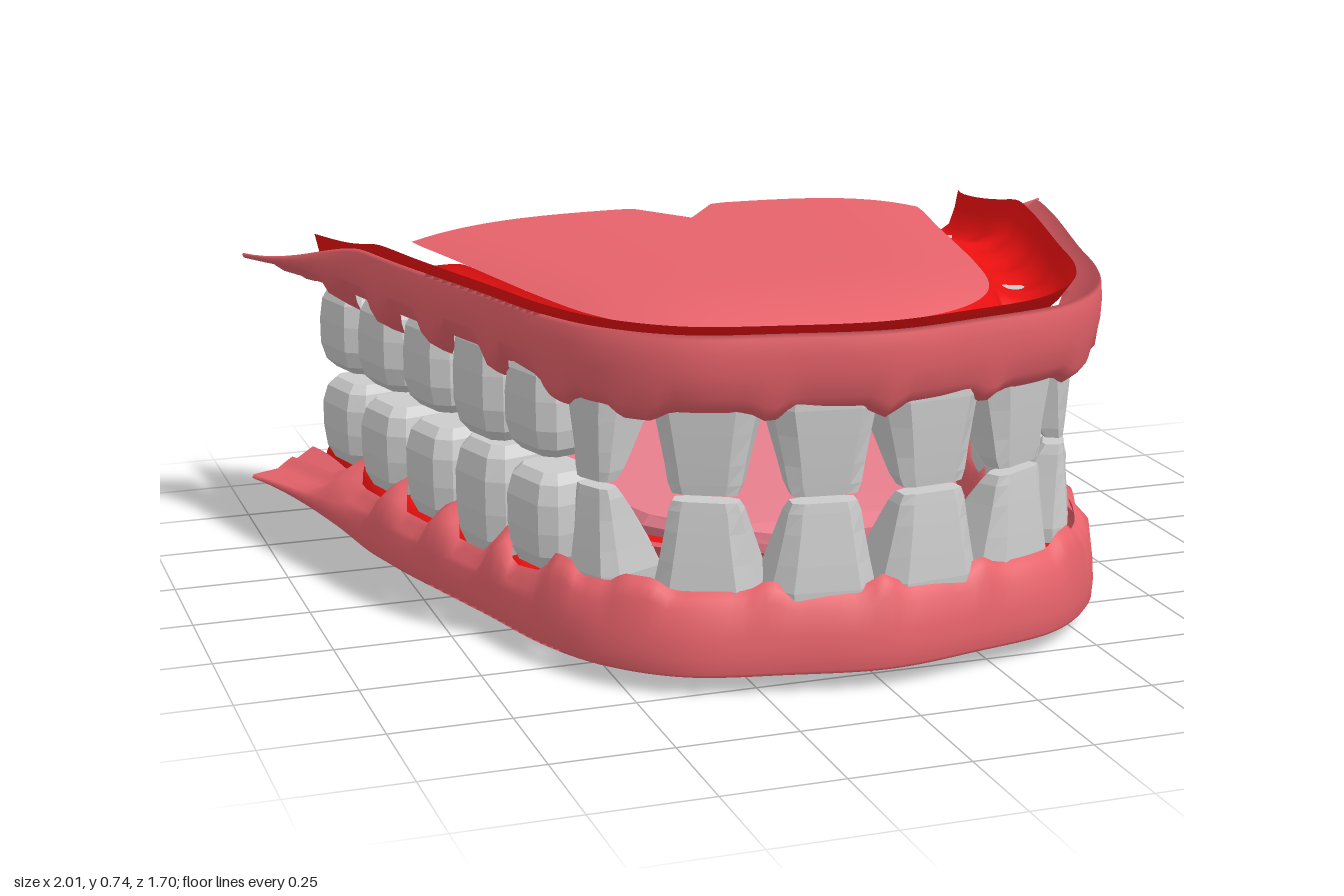
import * as THREE from 'three';

const paint = (color, extra = {}) => new THREE.MeshStandardMaterial({ color, roughness: 0.7, ...extra });
const both = { side: THREE.DoubleSide };
const gumMat = paint(0xe6626a, both);
const fleshMat = paint(0xea1010, both);
const tongueMat = paint(0xe87f8e, { ...both, flatShading: true });
const toothMat = paint(0xcccccc, { flatShading: true });

const ramp = (v, a, b) => THREE.MathUtils.smoothstep(v, a, b);
const mix = THREE.MathUtils.lerp;

// Half outlines of the dental arch as [x, z], from the front middle to the back
const OUTER = [[0, .845], [.2, .81], [.4, .755], [.53, .64], [.61, .49], [.68, .25], [.77, -.05], [.85, -.34], [1, -.65]];
const INNER = [[0, .56], [.16, .545], [.29, .49], [.385, .4], [.45, .28], [.5, .1], [.545, -.12], [.59, -.35], [.65, -.62]];
const archCurve = (half) => {
  const mirrored = half.slice(1).reverse().map(([x, z]) => [-x, z]);
  return new THREE.CatmullRomCurve3([...mirrored, ...half].map(([x, z]) => new THREE.Vector3(x, 0, z)));
};
const outer = archCurve(OUTER), inner = archCurve(INNER);

// One side of the row; turn is the facing away from straight ahead
const TEETH = [
  { name: 'centralIncisor', x: .106, z: .7, turn: .12, w: .212, d: .2, bite: .39, gum: .6, front: true },
  { name: 'lateralIncisor', x: .305, z: .632, turn: .5, w: .21, d: .19, bite: .39, gum: .6, front: true },
  { name: 'canine', x: .46, z: .485, turn: 1.1, w: .14, d: .17, bite: .39, gum: .6, front: true },
  { name: 'firstPremolar', x: .535, z: .305, turn: 1.28, w: .185, d: .16, bite: .4, gum: .605 },
  { name: 'secondPremolar', x: .592, z: .105, turn: 1.29, w: .19, d: .165, bite: .388, gum: .63 },
  { name: 'firstMolar', x: .65, z: -.105, turn: 1.3, w: .185, d: .17, bite: .4, gum: .61 },
  { name: 'secondMolar', x: .705, z: -.31, turn: 1.31, w: .19, d: .17, bite: .4, gum: .6 },
  { name: 'thirdMolar', x: .75, z: -.515, turn: 1.32, w: .19, d: .17, bite: .395, gum: .585 },
];

// 0 beside the middle of a tooth, 1 in the gap between two teeth
function gapAt(x, z) {
  const d = TEETH.map((t) => Math.hypot(Math.abs(x) - t.x, z - t.z) / (t.w / 2));
  return ramp(Math.min(...d), 0.6, 1.05);
}

// Surface through rows of equally many points
function grid(rows) {
  const n = rows[0].length, index = [];
  for (let i = 0; i < rows.length - 1; i++)
    for (let j = 0; j < n - 1; j++) {
      const a = i * n + j, b = a + n;
      index.push(a, b, a + 1, a + 1, b, b + 1);
    }
  const g = new THREE.BufferGeometry();
  g.setAttribute('position', new THREE.Float32BufferAttribute(rows.flat(2), 3));
  g.setIndex(index);
  g.computeVertexNormals();
  return g;
}

function addMesh(parent, name, geometry, material) {
  const mesh = new THREE.Mesh(geometry, material);
  mesh.name = name;
  parent.add(mesh);
  return mesh;
}

// Sweep a profile round the arch; profile(back, end, gap) gives [across 0..1, y] pairs
function archStrip(profile, tail = 0) {
  const rows = [], N = 144;
  for (let i = 0; i <= N; i++) {
    const t = i / N, o = outer.getPoint(t), p = inner.getPoint(t);
    const away = Math.abs(t - 0.5) * 2, end = ramp(away, 0.82, 1);
    const gap = gapAt(mix(o.x, p.x, .45), mix(o.z, p.z, .45)) * (1 - ramp(away, 0.9, 0.96));
    rows.push(profile(ramp(away, 0.4, 0.62), end, gap).map(([w, y]) => [
      mix(o.x, p.x, w), y,
      mix(o.z, p.z, w) - tail * Math.sin(Math.PI * w) * ramp(away, 0.88, 1),
    ]));
  }
  return grid(rows);
}

// Curved sheet spanning the inside of the arch, with a notch in its back edge
function archSheet(edgeY, frontY, midY, backZ) {
  const rows = [], N = 32, M = 40;
  for (let i = 0; i <= N; i++) {
    const p = inner.getPoint(0.5 + 0.5 * (i / N));
    if (p.z < backZ) break;
    rows.push([p.x, p.z]);
  }
  rows.push([rows[rows.length - 1][0] + 0.01, backZ]);
  return grid(rows.map(([hx, z]) => {
    const front = Math.pow(Math.max(0, z) / 0.56, 4), row = [];
    for (let j = 0; j <= M; j++) {
      const s = (j / M) * 2 - 1, x = hx * s;
      const notch = 0.15 * Math.max(0, 1 - Math.abs(x) / 0.1);
      const edge = mix(edgeY, frontY, front);
      row.push([x, mix(edge, midY, (1 - s ** 4) * (1 - front)), Math.max(z, backZ + notch)]);
    }
    return row;
  }));
}

// Tooth: an eight-sided column widened by height; bite end down, gum end up
function toothGeometry({ w, d, bite, gum, front }) {
  const g = new THREE.CylinderGeometry(1, 1, 1, 8, 5);
  g.rotateY(Math.PI / 8);
  const levels = [0, 0.1, 0.3, 0.6, 0.85, 1];
  const wide = front ? [.62, .7, .77, .89, 1, .96] : [.7, .9, 1, 1, .92, .76];
  const deep = front ? [.25, .36, .55, .8, .97, .92] : [.66, .88, 1, 1, .94, .78];
  const p = g.attributes.position;
  const square = (v) => Math.sign(v) * Math.sqrt(Math.abs(v)) / 0.96;
  for (let i = 0; i < p.count; i++) {
    const k = Math.round((p.getY(i) + 0.5) * 5);
    const shift = front ? (1 - deep[k]) * d * 0.38 : 0;
    p.setXYZ(i, square(p.getX(i)) * wide[k] * w / 2, mix(bite, gum, levels[k]),
      square(p.getZ(i)) * deep[k] * d / 2 + shift);
  }
  g.computeVertexNormals();
  return g;
}

function makeJaw(name) {
  const jaw = new THREE.Group();
  jaw.name = name;

  // Outer gum, scalloped round the teeth and running out to a flap at each back end
  addMesh(jaw, 'outerGum', archStrip((back, end, gap) => {
    const low = mix(.565 - .022 * gap, .605 - .06 * gap, back);
    const tuck = mix(.17, .14 + .16 * gap, back);
    return [[mix(.14, .28, back), .66], [.06, .7], [.02, .73], [0, .722], [-.01, .69], [0, .65], [.04, low + .035],
      [tuck * .65, low + .012], [tuck, low]].map(([w, y]) => [w + .12 * end * (w > .03), mix(y, .64 - w * .25, end * .85)]);
  }), gumMat);

  // Open trough above the tooth roots, dipping between them, with a raised outer lip
  addMesh(jaw, 'toothTrough', archStrip((back, end, gap) => {
    const dip = .045 * gap * (1 - .7 * back), f = .14 * (1 - back);
    return [[.22, .733], [.27 + f * .5, .69], [.36 + f, .65], [.56 + f, .635 - dip], [.74 + f, .638 - dip],
      [.92, .652], [1, .672]].map(([w, y]) => [mix(w, .4 + w * .54, end), y - .065 * end]);
  }, 0.1), fleshMat);

  // Gum on the tongue side
  addMesh(jaw, 'innerGum', archStrip((back, end, gap) =>
    [[1, mix(.672, .607, end)], [1.02, .6], [.98, .575], [.9, .56 - .02 * gap], [.7, .55 - .02 * gap]]), gumMat);

  // Mirrored row of teeth
  const teeth = new THREE.Group();
  teeth.name = 'teeth';
  for (const spec of TEETH) {
    const geometry = toothGeometry(spec);
    for (const side of [1, -1]) {
      const tooth = addMesh(teeth, spec.name, geometry, toothMat);
      tooth.position.set(side * spec.x, 0, spec.z);
      tooth.rotation.y = side * spec.turn;
    }
  }
  jaw.add(teeth);
  return jaw;
}

// Tongue: flat slab whose back end bends down
function tongueGeometry() {
  const spine = [[.53, .1, .23, 0], [.47, .25, .245, 0], [.35, .36, .25, 0], [.1, .44, .25, 0], [-.2, .51, .25, 0],
    [-.5, .56, .25, 0], [-.62, .57, .245, .02], [-.69, .57, .22, .04], [-.78, .57, .14, .05], [-.83, .545, .08, .05], [-.855, .49, .04, .05]];
  const section = [[1, .5], [.96, 0], [.5, 0], [-.5, 0], [-.96, 0], [-1, .5], [-.96, 1], [.96, 1], [1, .5]];
  const rows = spine.map(([z, hw, y, lean]) => section.map(([s, low]) => [s * hw, y - low * .045, z + low * lean]));
  const closed = (row) => row.map(() => [0, row[0][1], row[0][2]]);
  return grid([closed(rows[0]), ...rows, closed(rows[rows.length - 1])]);
}

export function createModel() {
  const model = new THREE.Group();
  model.name = 'dentures';

  const upper = makeJaw('upperJaw');
  addMesh(upper, 'palate', archSheet(.672, .64, .715, -.55), gumMat);

  // The lower jaw is the upper one turned over
  const lower = makeJaw('lowerJaw');
  addMesh(lower, 'mouthFloor', archSheet(.672, .672, .595, -.4), fleshMat);
  lower.rotation.z = Math.PI;
  lower.position.y = 0.765;

  model.add(upper, lower);
  addMesh(model, 'tongue', tongueGeometry(), tongueMat);
  return model;
}
